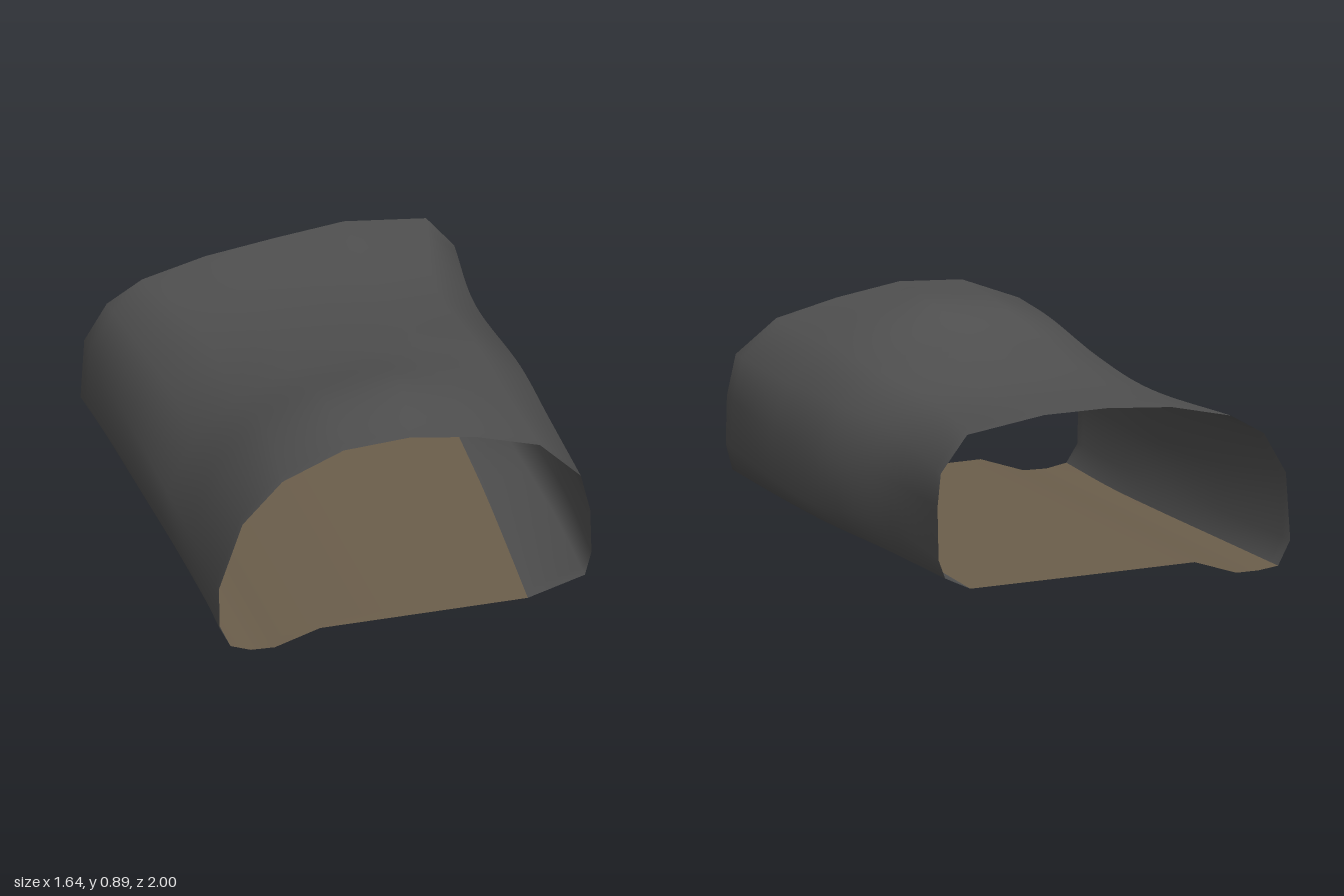
import * as THREE from 'three';

// Arch cross-sections from front to back; each runs from the right-hand floor
// edge (+x) over the roof to the left-hand floor edge, as x, y pairs.
const frontArch = [0.5, 0.065, 0.74, 0.14, 0.765, 0.25, 0.76, 0.45, 0.72, 0.62, 0.56, 0.765, 0.3, 0.83,
  0.02, 0.87, -0.26, 0.85, -0.52, 0.745, -0.69, 0.57, -0.79, 0.28, -0.79, 0.1, -0.75, 0.02];
const highArch = [0.54, 0.065, 0.76, 0.13, 0.81, 0.22, 0.8, 0.42, 0.73, 0.61, 0.55, 0.76, 0.3, 0.83,
  0.09, 0.885, -0.22, 0.85, -0.47, 0.75, -0.66, 0.55, -0.775, 0.28, -0.775, 0.1, -0.74, 0.01];
const midArch = [0.57, 0.065, 0.76, 0.12, 0.815, 0.2, 0.81, 0.42, 0.73, 0.62, 0.55, 0.745, 0.3, 0.79,
  0.05, 0.8, -0.25, 0.765, -0.48, 0.68, -0.64, 0.52, -0.775, 0.28, -0.775, 0.12, -0.74, 0.01];
const lowArch = [0.6, 0.065, 0.75, 0.12, 0.77, 0.24, 0.755, 0.42, 0.7, 0.6, 0.53, 0.715, 0.3, 0.735,
  0.05, 0.74, -0.22, 0.715, -0.46, 0.66, -0.67, 0.55, -0.785, 0.32, -0.79, 0.11, -0.75, 0.01];
const backArch = [0.64, 0.065, 0.755, 0.12, 0.785, 0.2, 0.785, 0.42, 0.77, 0.56, 0.65, 0.71, 0.3, 0.755,
  0, 0.745, -0.3, 0.715, -0.57, 0.65, -0.72, 0.56, -0.81, 0.39, -0.82, 0.11, -0.76, 0.01];

// Ragged depth of the two open ends, one value per profile point
const frontZ = [0.98, 0.99, 1, 1, 1, 0.95, 0.92, 0.91, 0.9, 0.9, 0.9, 0.9, 0.91, 0.93];
const backZ = [-1, -1, -1, -0.99, -0.99, -0.99, -0.99, -0.96, -0.95, -0.95, -0.95, -0.97, -0.99, -1];

const STEPS = 32;

// Skin a surface across a list of lengthwise curves
function skin(curves) {
  const rows = curves.map(c => c.getPoints(STEPS));
  const n = rows.length;
  const positions = [];
  const index = [];
  for (let j = 0; j <= STEPS; j++) {
    for (let i = 0; i < n; i++) {
      const p = rows[i][j];
      positions.push(p.x, p.y, p.z);
      if (j < STEPS && i < n - 1) {
        const a = j * n + i;
        index.push(a, a + n, a + 1, a + 1, a + n, a + n + 1);
      }
    }
  }
  const g = new THREE.BufferGeometry();
  g.setAttribute('position', new THREE.Float32BufferAttribute(positions, 3));
  g.setIndex(index);
  g.computeVertexNormals();
  return g;
}

export function createModel() {
  const group = new THREE.Group();
  group.name = 'caveTunnel';

  const rock = new THREE.MeshStandardMaterial({ color: 0x505050, side: THREE.DoubleSide });
  rock.name = 'grey rock';
  const earth = new THREE.MeshStandardMaterial({ color: 0x6b5e4b, side: THREE.DoubleSide });
  earth.name = 'brown earth';

  // Rock arch: one lengthwise curve through each profile point
  const rings = [frontArch, highArch, midArch, lowArch, backArch];
  const archCurves = frontZ.map((zf, i) => {
    const depths = [zf, 0.5, 0.1, -0.45, backZ[i]];
    return new THREE.CatmullRomCurve3(rings.map((r, k) =>
      new THREE.Vector3(r[2 * i], r[2 * i + 1], depths[k])));
  });
  const arch = new THREE.Mesh(skin(archCurves), rock);
  arch.name = 'rockArch';
  group.add(arch);

  // Earth floor: flat bed with a sunken gutter along the left side
  const lengthwise = (x, y, zf) => new THREE.LineCurve3(
    new THREE.Vector3(x, y, zf), new THREE.Vector3(x, y, -1));
  const floorCurves = [
    archCurves[0],
    lengthwise(0.1, 0.065, 0.975),
    lengthwise(-0.38, 0.066, 0.97),
    lengthwise(-0.57, 0.001, 0.96),
    lengthwise(-0.67, 0, 0.95),
    archCurves[archCurves.length - 1],
  ];
  const floor = new THREE.Mesh(skin(floorCurves), earth);
  floor.name = 'earthFloor';
  group.add(floor);

  return group;
}
